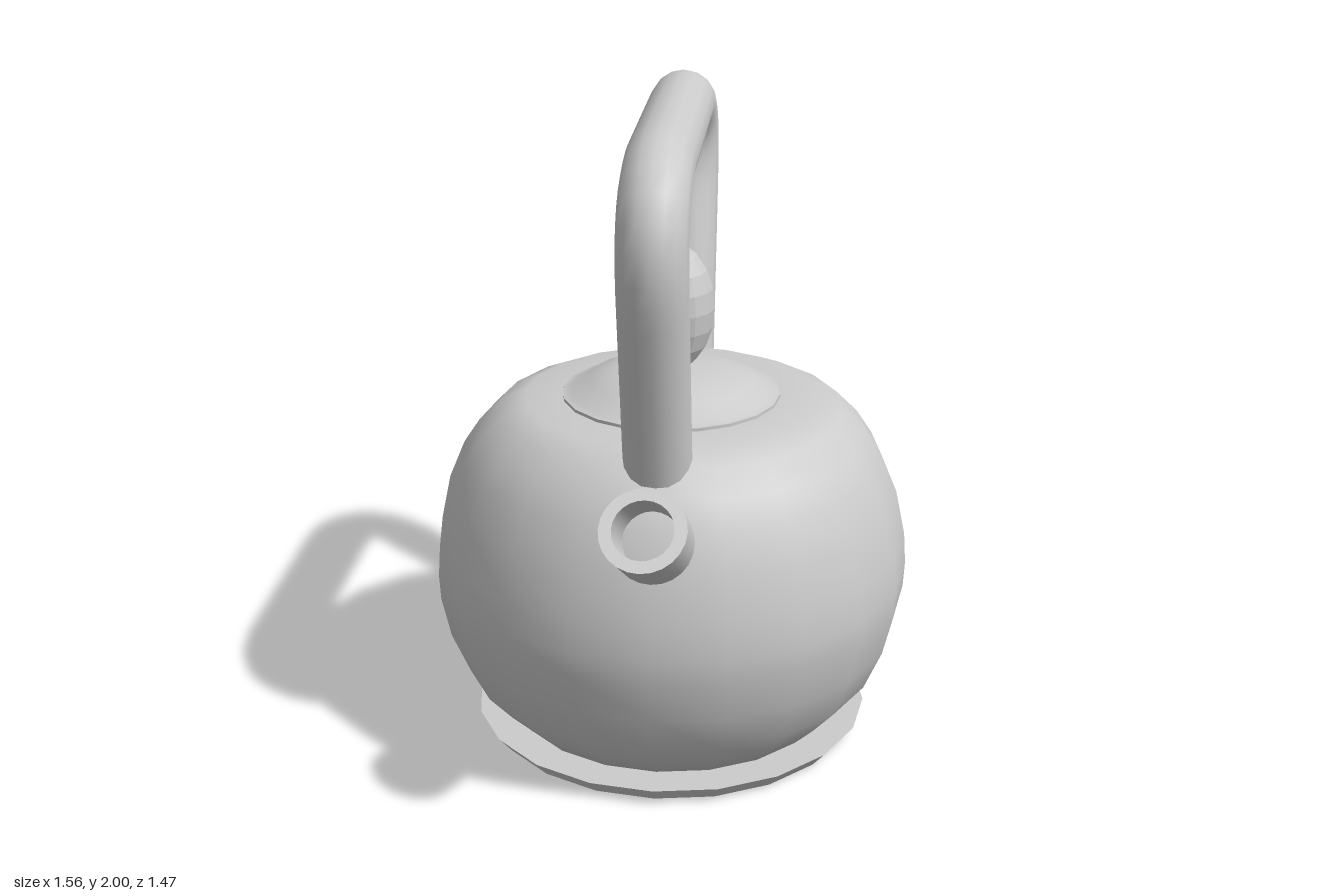
import * as THREE from 'three';
import { toCreasedNormals } from 'three/addons/utils/BufferGeometryUtils.js';

const SIDES = 20;
const TURN = THREE.MathUtils.degToRad(3.1); // rotation of the faceted outline
const HEADING = THREE.MathUtils.degToRad(39.3); // plane of handle and spout

const material = new THREE.MeshStandardMaterial({ color: 0xcccccc });
const flatMaterial = new THREE.MeshStandardMaterial({ color: 0xcccccc, flatShading: true });
const doubleMaterial = new THREE.MeshStandardMaterial({ color: 0xcccccc, side: THREE.DoubleSide });

const points = (list) => list.map(([x, y]) => new THREE.Vector2(x, y));

function addMesh(parent, name, geometry, mat = material) {
  const mesh = new THREE.Mesh(geometry, mat);
  mesh.name = name;
  parent.add(mesh);
  return mesh;
}

// Bent bar in the x-y plane: leg, rounded corner, top bar, corner, leg
function handleGeometry() {
  const v = (x, y) => new THREE.Vector3(x, y, 0);
  const path = new THREE.CurvePath();
  path.add(new THREE.LineCurve3(v(-0.465, 1.0), v(-0.622, 1.56)));
  path.add(new THREE.QuadraticBezierCurve3(v(-0.622, 1.56), v(-0.715, 1.9), v(-0.34, 1.9)));
  path.add(new THREE.LineCurve3(v(-0.34, 1.9), v(0.34, 1.9)));
  path.add(new THREE.QuadraticBezierCurve3(v(0.34, 1.9), v(0.715, 1.9), v(0.622, 1.56)));
  path.add(new THREE.LineCurve3(v(0.622, 1.56), v(0.465, 1.0)));
  return new THREE.TubeGeometry(path, 48, 0.1, 16);
}

// Thick pipe along +y whose mouth end is cut at a slant
function spoutGeometry(length, outer, inner, slant) {
  const geometry = new THREE.LatheGeometry(
    points([[inner, 0], [outer, 0], [outer, length], [inner, length], [inner, 0]]), 24);
  const p = geometry.attributes.position;
  for (let i = 0; i < p.count; i++) {
    if (p.getY(i) > length / 2) p.setY(i, length + slant * p.getX(i));
  }
  return toCreasedNormals(geometry, 0.6);
}

export function createModel() {
  const kettle = new THREE.Group();
  kettle.name = 'kettle';
  kettle.position.x = 0.043;

  // Round body with a flattened top
  addMesh(kettle, 'body', new THREE.LatheGeometry(points([
    [0, 0.04], [0.5, 0.04], [0.575, 0.115], [0.65, 0.2], [0.705, 0.33], [0.733, 0.46], [0.737, 0.54],
    [0.73, 0.64], [0.7, 0.78], [0.65, 0.9], [0.6, 0.975], [0.53, 1.045], [0.45, 1.08], [0.3, 1.083], [0, 1.083],
  ]), SIDES, TURN));

  // Flared foot plate
  const base = new THREE.CylinderGeometry(0.622, 0.58, 0.05, SIDES, 1, false, TURN);
  addMesh(kettle, 'base', toCreasedNormals(base, 0.6)).position.y = 0.025;

  // Lid: rim step and shallow dome
  const lid = new THREE.LatheGeometry(points([
    [0.335, 1.075], [0.335, 1.092], [0.312, 1.096], [0.255, 1.135], [0.18, 1.163], [0.1, 1.175], [0, 1.178],
  ]), SIDES, TURN);
  addMesh(kettle, 'lid', toCreasedNormals(lid, 0.6));

  // Egg-shaped knob
  const knob = addMesh(kettle, 'knob', new THREE.SphereGeometry(1, 14, 10), flatMaterial);
  knob.scale.set(0.132, 0.2, 0.132);
  knob.position.y = 1.36;

  // Handle and spout share one diagonal plane; the spout points along local -x
  const diagonal = new THREE.Group();
  diagonal.name = 'handleAndSpout';
  diagonal.rotation.y = HEADING;
  kettle.add(diagonal);

  addMesh(diagonal, 'handle', handleGeometry(), doubleMaterial);

  const tilt = Math.PI / 3;
  const length = 0.46;
  const spout = addMesh(diagonal, 'spout', spoutGeometry(length, 0.12, 0.085, -0.46), doubleMaterial);
  spout.rotation.z = tilt;
  spout.position.set(-0.917 + length * Math.sin(tilt), 1.03 - length * Math.cos(tilt), 0);

  const model = new THREE.Group();
  model.name = 'model';
  model.add(kettle);
  return model;
}
